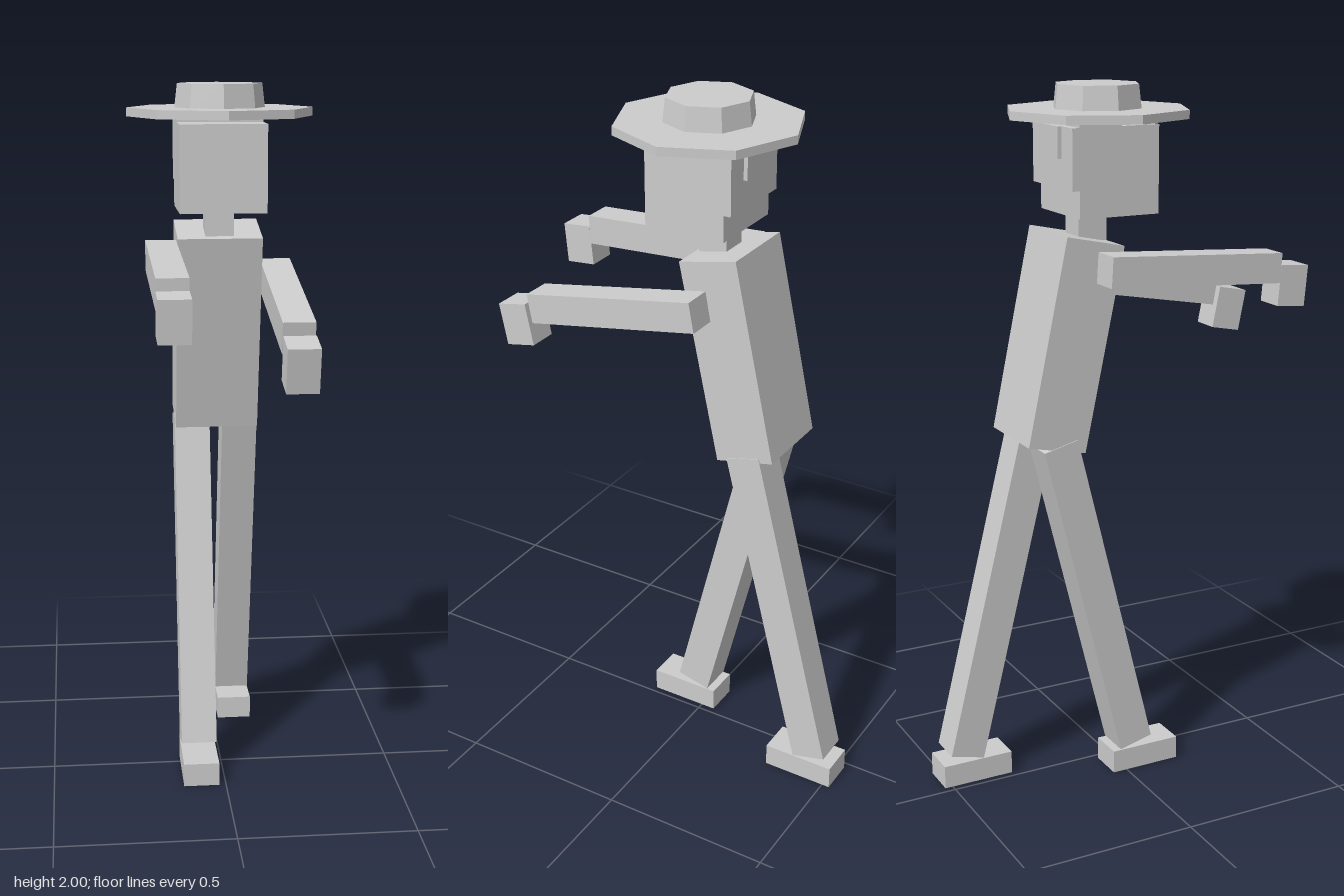
import * as THREE from 'three';

export function createModel() {
  const model = new THREE.Group();
  model.name = 'walkingFigure';
  const grey = new THREE.MeshStandardMaterial({ color: 0xcccccc });
  grey.name = 'plain grey';

  // box given by size, centre and tilt about the x axis
  function box(name, size, centre, tilt = 0) {
    const mesh = new THREE.Mesh(new THREE.BoxGeometry(...size), grey);
    mesh.name = name;
    mesh.position.set(...centre);
    mesh.rotation.x = tilt;
    model.add(mesh);
  }

  // eight-sided disc between two heights, corners on the axes
  function octagon(name, topRadius, bottomRadius, y0, y1) {
    const geometry = new THREE.CylinderGeometry(topRadius, bottomRadius, y1 - y0, 8).toNonIndexed();
    geometry.computeVertexNormals();
    const mesh = new THREE.Mesh(geometry, grey);
    mesh.name = name;
    mesh.position.set(0, (y0 + y1) / 2, -0.032);
    model.add(mesh);
  }

  // torso, neck and head
  box('torso', [0.24, 0.582, 0.176], [0, 1.308, -0.157], 0.21);
  box('neck', [0.08, 0.09, 0.085], [0, 1.625, -0.067]);
  box('head', [0.24, 0.24, 0.239], [0, 1.775, -0.026]);

  // hair at the back of the head, with a small bun
  box('hair', [0.244, 0.165, 0.031], [0, 1.813, -0.152]);
  box('hairTop', [0.24, 0.025, 0.126], [0, 1.902, -0.083]);
  box('bun', [0.115, 0.085, 0.02], [0, 1.853, -0.169]);

  // hat
  octagon('hatBrim', 0.2585, 0.2585, 1.911, 1.935);
  octagon('hatCrown', 0.118, 0.126, 1.93, 2.0);

  // arms held out in front, each with a drooping hand
  box('leftArm', [0.087, 0.086, 0.534], [0.1635, 1.417, 0.163], 0.18);
  box('leftHand', [0.087, 0.123, 0.092], [0.1635, 1.309, 0.475], 0.2);
  box('rightArm', [0.087, 0.085, 0.534], [-0.1635, 1.505, 0.174], 0.06);
  box('rightHand', [0.087, 0.117, 0.089], [-0.1635, 1.436, 0.481], 0.09);

  // legs in mid stride, with flat feet: side, centre of the leg's lower end, foot centre
  const strides = [['left', 1, -0.45, -0.417], ['right', -1, 0.031, 0.063]];
  for (const [name, side, ankle, foot] of strides) {
    const length = 0.98, tilt = 0.245 * side;
    box(name + 'Leg', [0.103, length, 0.104],
      [0.071 * side, 0.083 + Math.cos(tilt) * length / 2, ankle + Math.sin(tilt) * length / 2], tilt);
    box(name + 'Foot', [0.103, 0.068, 0.212], [0.071 * side, 0.034, foot]);
  }
  return model;
}
